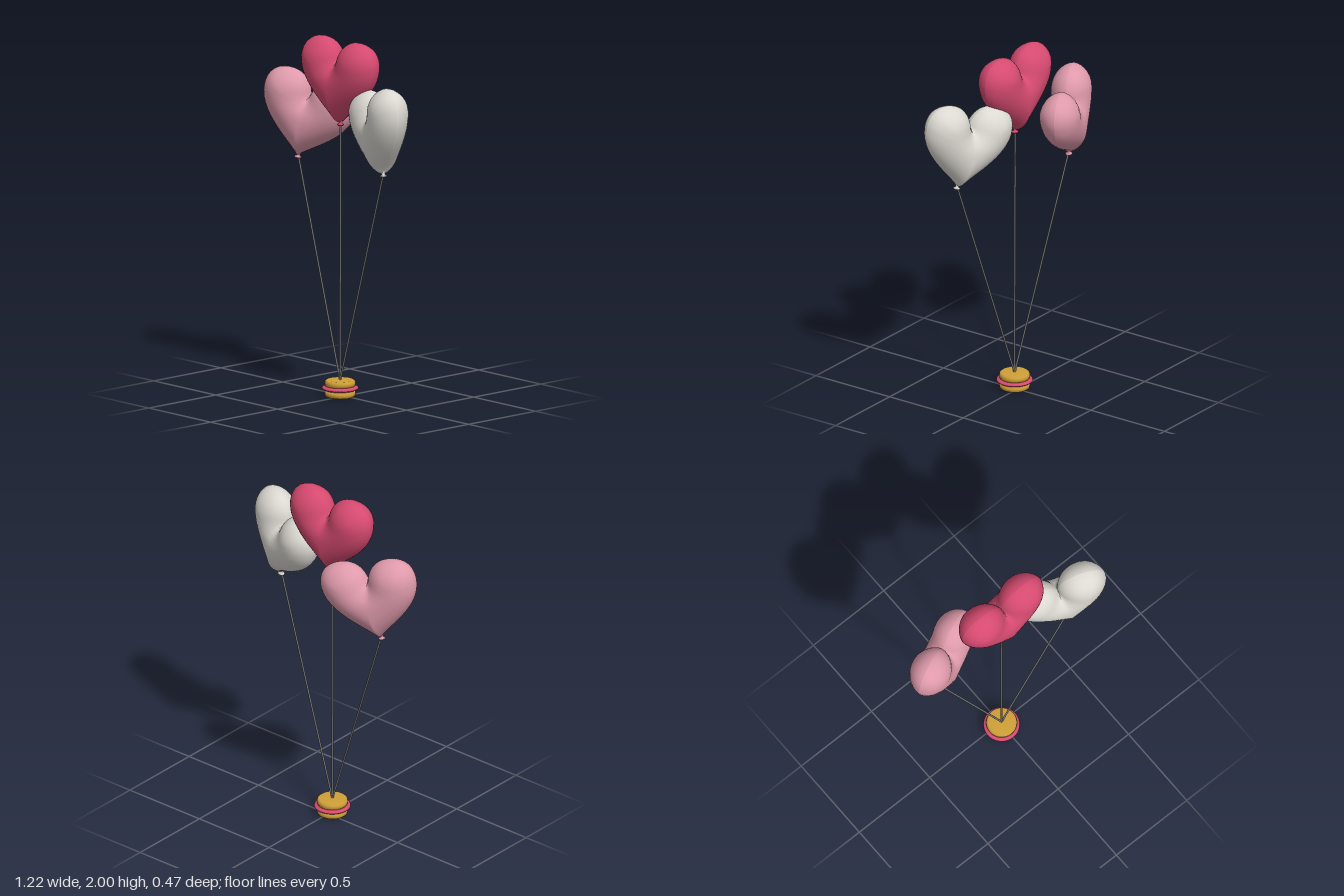
import * as THREE from 'three';

const paint = (name, color) => {
  const m = new THREE.MeshStandardMaterial({ color });
  m.name = name;
  return m;
};

// Heart outline, tip at the origin, running counter-clockwise
function heartOutline() {
  const s = new THREE.Shape();
  s.moveTo(0, 0);
  s.bezierCurveTo(0.05, 0.06, 0.278, 0.17, 0.278, 0.335);
  s.bezierCurveTo(0.278, 0.42, 0.22, 0.467, 0.14, 0.467);
  s.bezierCurveTo(0.07, 0.467, 0.015, 0.42, 0, 0.345);
  s.bezierCurveTo(-0.015, 0.42, -0.07, 0.467, -0.14, 0.467);
  s.bezierCurveTo(-0.22, 0.467, -0.278, 0.42, -0.278, 0.335);
  s.bezierCurveTo(-0.278, 0.17, -0.05, 0.06, 0, 0);
  return s.getPoints(14).slice(0, -1);
}

// One inflated half: rings shrink to the middle, depth grows away from the seam
function heartHalf() {
  const outline = heartOutline();
  const n = outline.length, rings = 12, depth = 0.112, reach = 0.14;
  const centre = new THREE.Vector2(0, 0.24);
  const edge = new THREE.Line3(), near = new THREE.Vector3();
  const seamDistance = (p) => {
    let best = Infinity;
    for (let i = 0; i < n; i++) {
      const a = outline[i], b = outline[(i + 1) % n];
      edge.start.set(a.x, a.y, 0);
      edge.end.set(b.x, b.y, 0);
      edge.closestPointToPoint(p, true, near);
      best = Math.min(best, near.distanceTo(p));
    }
    return best;
  };
  const pos = [], index = [];
  const add = (x, y, onSeam) => {
    const d = onSeam ? 0 : Math.min(seamDistance(new THREE.Vector3(x, y, 0)) / reach, 1);
    pos.push(x, y, depth * Math.pow(1 - (1 - d) ** 2, 0.58));
  };
  add(centre.x, centre.y, false);
  for (let j = 1; j <= rings; j++) {
    const s = Math.sin((j / rings) * Math.PI / 2);
    for (const o of outline) {
      add(centre.x + (o.x - centre.x) * s, centre.y + (o.y - centre.y) * s, j === rings);
    }
  }
  for (let i = 0; i < n; i++) {
    const k = (i + 1) % n;
    index.push(0, 1 + i, 1 + k);
    for (let j = 0; j < rings - 1; j++) {
      const a = 1 + j * n, b = a + n;
      index.push(a + i, b + i, b + k, a + i, b + k, a + k);
    }
  }
  const g = new THREE.BufferGeometry();
  g.setAttribute('position', new THREE.Float32BufferAttribute(pos, 3));
  g.setIndex(index);
  g.computeVertexNormals();
  return g;
}

const lathe = (pts, segments = 32) =>
  new THREE.LatheGeometry(pts.map(([r, y]) => new THREE.Vector2(r, y)), segments);

export function createModel() {
  const model = new THREE.Group();
  const red = paint('raspberry', 0xd64a70);
  const pink = paint('pale pink', 0xdf9aab);
  const white = paint('warm white', 0xdcd9d2);
  const gold = paint('golden', 0xd0a038);
  const grey = paint('string grey', 0x828282);

  const add = (parent, name, geometry, material) => {
    const m = new THREE.Mesh(geometry, material);
    m.name = name;
    parent.add(m);
    return m;
  };

  // Weight: two rounded shells with a filling ring between them
  const weight = new THREE.Group();
  weight.name = 'weight';
  weight.position.set(-0.01, 0, 0.025);
  model.add(weight);
  const shell = lathe([[0, 0], [0.074, 0], [0.083, 0.007], [0.085, 0.02], [0.082, 0.036], [0, 0.036]]);
  add(weight, 'bottomShell', shell, gold);
  const top = add(weight, 'topShell', shell, gold);
  top.position.y = 0.095;
  top.rotation.x = Math.PI;
  add(weight, 'filling', lathe([[0.06, 0.034], [0.084, 0.037], [0.098, 0.044], [0.101, 0.049],
    [0.098, 0.055], [0.084, 0.061], [0.06, 0.063]]), red);

  // Balloons with their knots and strings
  const half = heartHalf();
  const knotShape = lathe([[0, -0.016], [0.013, -0.018], [0.02, -0.013], [0.018, -0.008],
    [0.009, -0.003], [0.011, 0.008], [0.016, 0.02]], 16);
  const anchor = new THREE.Vector3(-0.01, 0.09, 0.025);
  const up = new THREE.Vector3(0, 1, 0);
  const balloons = [
    ['centreBalloon', red, [-0.01, 1.535, 0.022], 0, 0],
    ['rightBalloon', pink, [-0.42, 1.28, -0.042], 0.4, -0.22],
    ['leftBalloon', white, [0.42, 1.325, 0.1], -0.37, 0.22],
  ];
  for (const [name, material, tip, turn, tilt] of balloons) {
    const balloon = new THREE.Group();
    balloon.name = name;
    balloon.position.set(...tip);
    balloon.rotation.set(0, turn, tilt);
    model.add(balloon);
    add(balloon, 'heartFront', half, material);
    add(balloon, 'heartBack', half, material).rotation.y = Math.PI;
    add(balloon, 'knot', knotShape, material);

    const along = new THREE.Vector3(...tip).sub(anchor);
    const string = add(model, name + 'String',
      new THREE.CylinderGeometry(0.0055, 0.0055, along.length(), 8), grey);
    string.position.copy(anchor).addScaledVector(along, 0.5);
    string.quaternion.setFromUnitVectors(up, along.clone().normalize());
  }
  return model;
}
